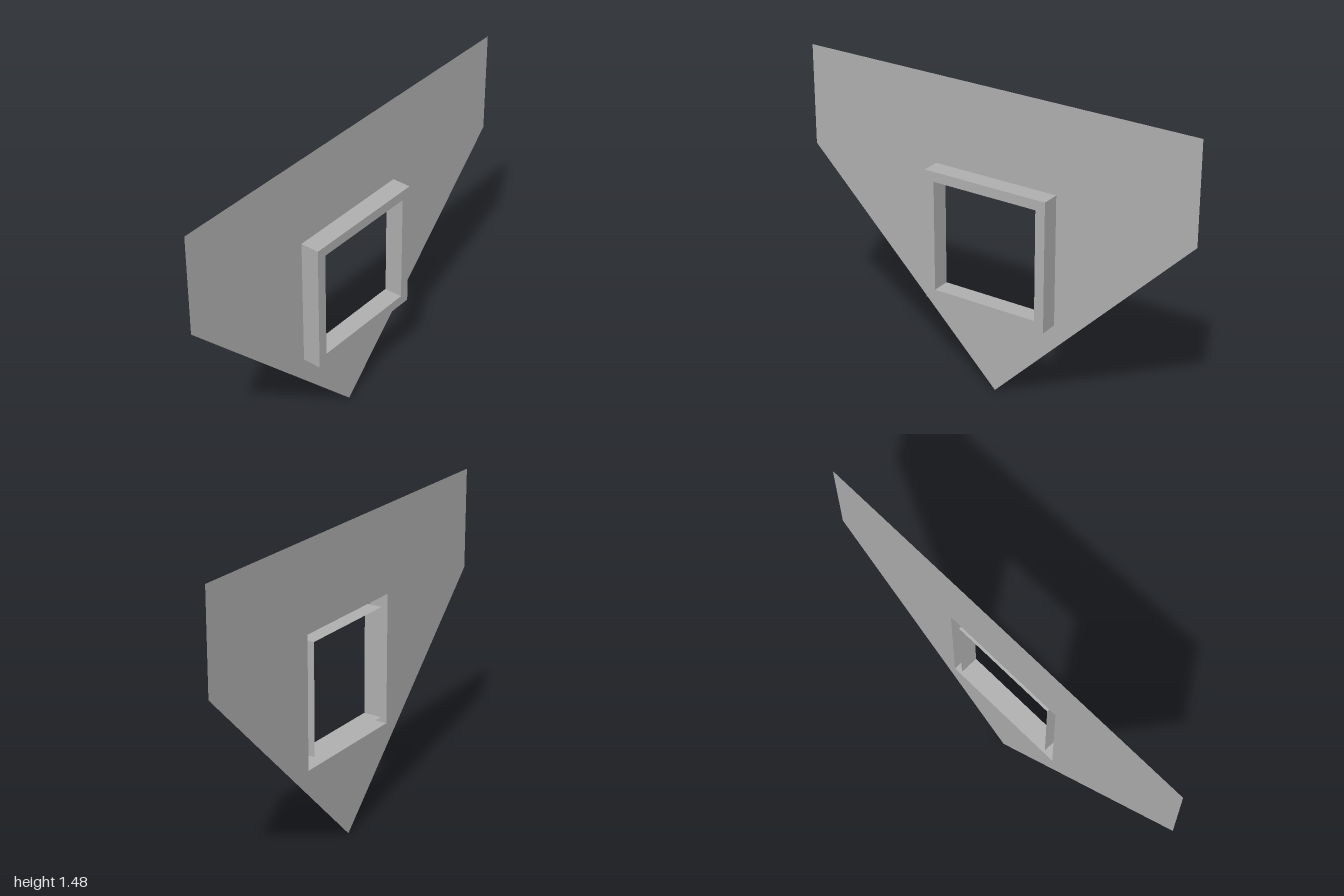
import * as THREE from 'three';

const CENTER_Y = 0.748; // middle of the window
const OUTER = 0.315; // half size of the frame outside
const INNER = 0.267; // half size of the opening
const BACK = -0.045;
const FRONT = 0.045;

function squareCorners(half) {
  return [[-1, -1], [1, -1], [1, 1], [-1, 1]].map(
    ([x, y]) => new THREE.Vector2(x * half, CENTER_Y + y * half));
}

// Flat sheet with a square hole, facing +z
function sheet(name, corners, holeHalf, z, material) {
  const shape = new THREE.Shape(corners);
  shape.holes.push(new THREE.Path(squareCorners(holeHalf)));
  const mesh = new THREE.Mesh(new THREE.ShapeGeometry(shape), material);
  mesh.name = name;
  mesh.position.z = z;
  return mesh;
}

// Four thin panels running from the wall to the front of the frame;
// dir = 1 faces them outwards, -1 towards the opening
function sleeve(name, half, dir, material) {
  const group = new THREE.Group();
  group.name = name;
  ['right', 'top', 'left', 'bottom'].forEach((side, i) => {
    const angle = i * Math.PI / 2;
    const geometry = new THREE.PlaneGeometry(FRONT - BACK, half * 2);
    geometry.rotateY(dir * Math.PI / 2);
    geometry.translate(half, 0, 0);
    geometry.rotateZ(angle);
    const panel = new THREE.Mesh(geometry, material);
    panel.name = side + 'Panel';
    panel.position.y = CENTER_Y;
    group.add(panel);
  });
  return group;
}

export function createModel() {
  const model = new THREE.Group();
  model.name = 'gableWallWithWindow';
  const grey = new THREE.MeshStandardMaterial({ color: 0xb2b2b2, side: THREE.DoubleSide });
  grey.name = 'plainGrey';

  // Five-sided wall sheet, open behind the hollow frame
  const wallCorners = [[0, 0], [1, 1], [1, 1.483], [-1, 1.483], [-1, 1]]
    .map(([x, y]) => new THREE.Vector2(x, y));
  model.add(sheet('wall', wallCorners, OUTER, BACK, grey));

  // Hollow window frame: front ring, outer and inner sides
  const frame = new THREE.Group();
  frame.name = 'windowFrame';
  frame.add(
    sheet('frameFace', squareCorners(OUTER), INNER, FRONT, grey),
    sleeve('outerSides', OUTER, 1, grey),
    sleeve('innerSides', INNER, -1, grey));
  model.add(frame);
  return model;
}
